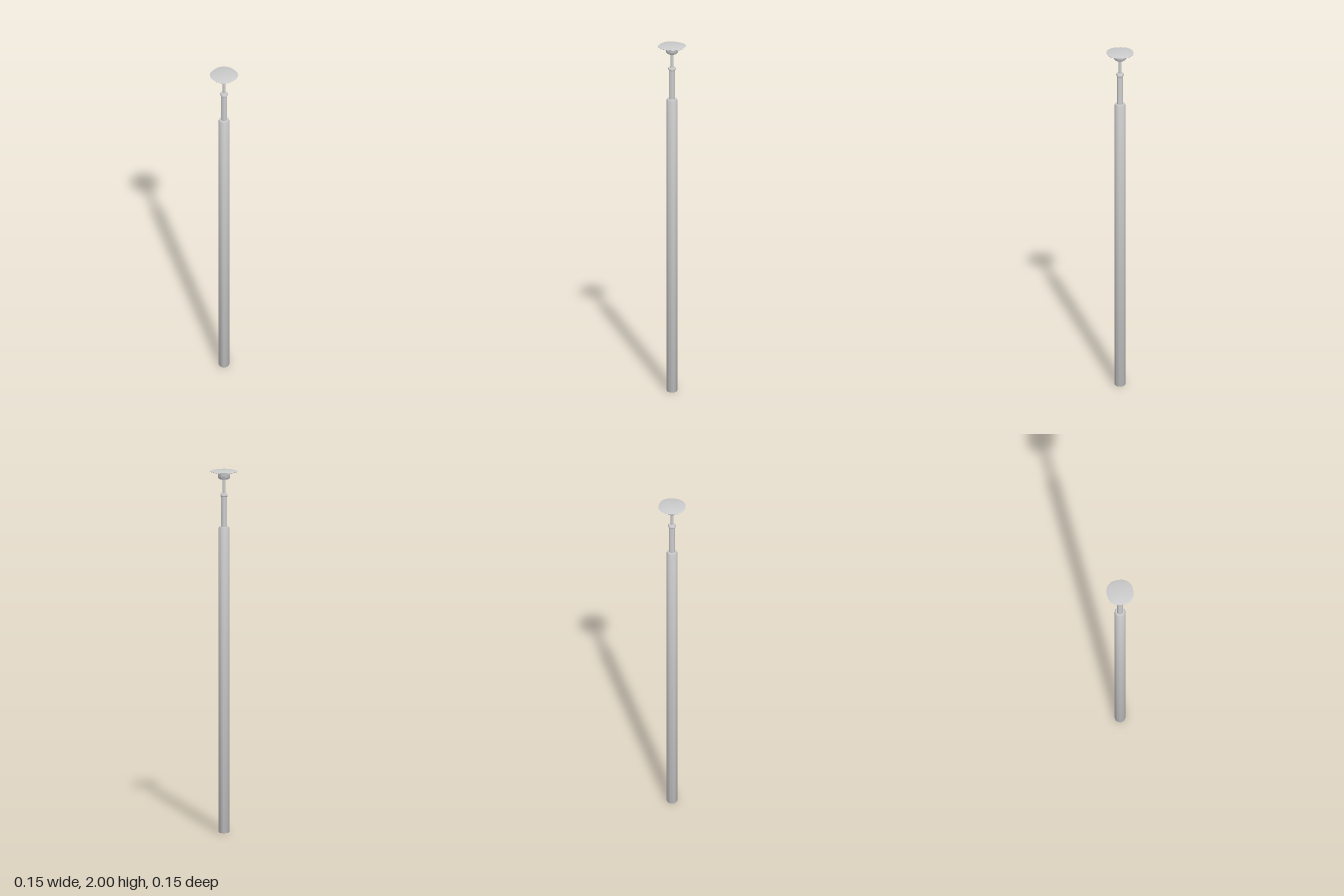
import * as THREE from 'three';
import { toCreasedNormals } from 'three/addons/utils/BufferGeometryUtils.js';

const material = new THREE.MeshStandardMaterial({ color: 0xcccccc, side: THREE.DoubleSide });

// Turned part from a bottom-to-top [radius, height] profile
function turned(name, profile, segments = 32) {
  const points = profile.map(([r, y]) => new THREE.Vector2(r, y));
  const geometry = new THREE.LatheGeometry(points, segments);
  const mesh = new THREE.Mesh(geometry, material);
  mesh.name = name;
  return mesh;
}

// Push a round part out towards a rounded square (superellipse)
function squareOff(geometry, exponent) {
  const p = geometry.attributes.position;
  for (let i = 0; i < p.count; i++) {
    const x = p.getX(i), z = p.getZ(i), r = Math.hypot(x, z);
    if (r < 1e-6) continue;
    const k = Math.pow(Math.abs(x / r) ** exponent + Math.abs(z / r) ** exponent, -1 / exponent);
    p.setX(i, x * k);
    p.setZ(i, z * k);
  }
}

export function createModel() {
  const group = new THREE.Group();
  group.name = 'telescopicPost';

  group.add(
    // Long lower tube with softened ends
    turned('outerTube', [[0, 0], [0.027, 0], [0.029, 0.004], [0.029, 1.685], [0.026, 1.692], [0, 1.692]]),
    // Narrower sliding tube
    turned('innerTube', [[0.017, 1.68], [0.017, 1.862]]),
    // Bead round the top of the sliding tube
    turned('collar', [[0, 1.857], [0.017, 1.857], [0.0205, 1.861], [0.0205, 1.87], [0.017, 1.875], [0, 1.876]]),
    // Thin rod
    turned('rod', [[0.008, 1.87], [0.008, 1.965]], 24),
    // Cup holding the plate
    turned('cup', [[0, 1.954], [0.024, 1.954], [0.031, 1.96], [0.034, 1.968], [0.034, 1.997]]),
    // Thin rounded-square plate with a sloping rim
    turned('topPlate', [[0, 1.995], [0.072, 1.995], [0.073, 1.9965], [0.063, 2], [0, 2]], 64)
  );

  squareOff(group.getObjectByName('topPlate').geometry, 2.35);
  group.children.forEach((mesh) => {
    mesh.geometry = toCreasedNormals(mesh.geometry, 0.7);
  });
  return group;
}
